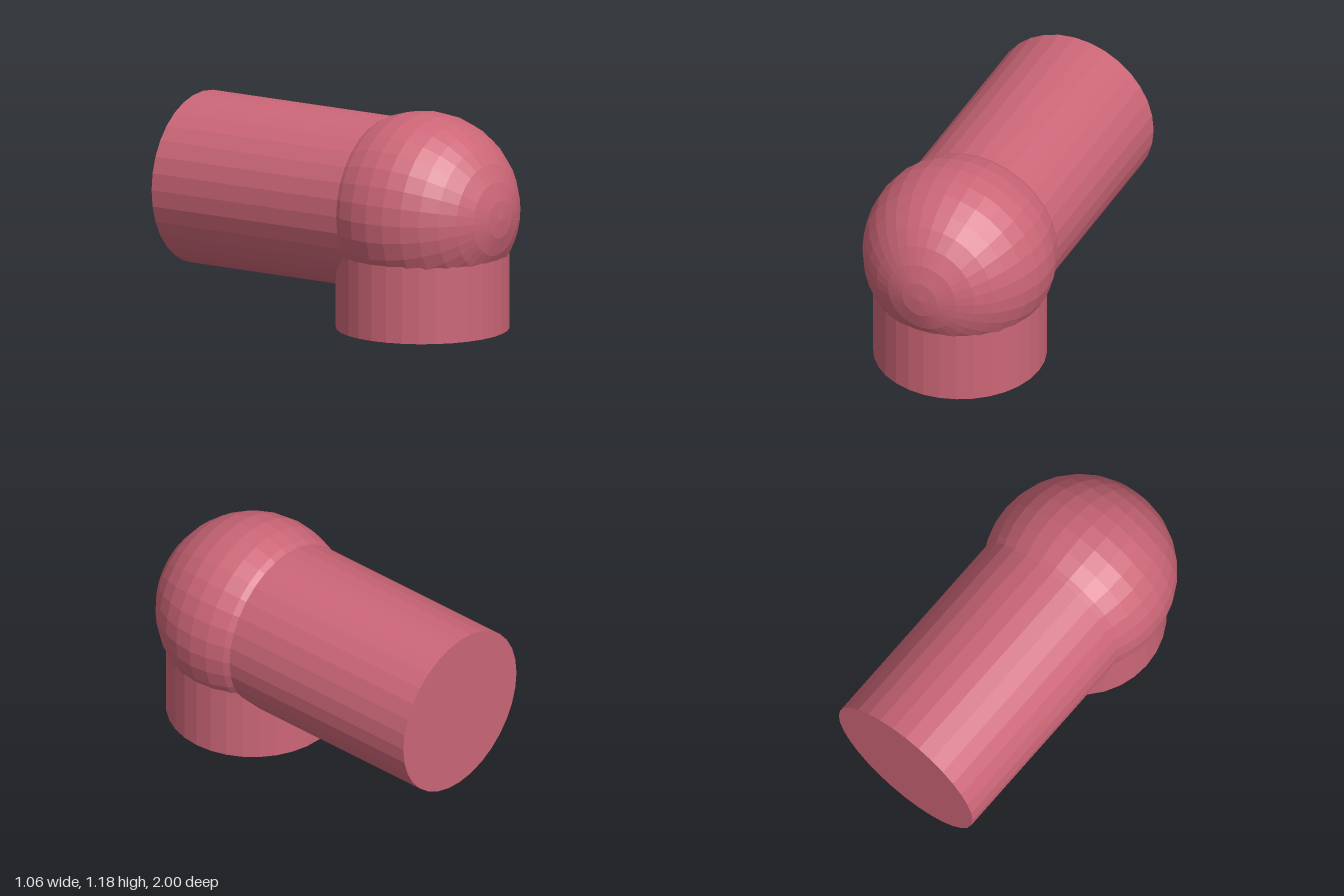
import * as THREE from 'three';

const SIDES = 32;
const PIPE_R = 0.471;
const BALL_R = 0.529;
const JOINT = new THREE.Vector3(0, 0.655, 0.471);

export function createModel() {
  const model = new THREE.Group();
  model.name = 'pipeElbow';
  const material = new THREE.MeshStandardMaterial({ color: 0xcc6677, flatShading: true });

  const add = (name, geometry) => {
    const mesh = new THREE.Mesh(geometry, material);
    mesh.name = name;
    model.add(mesh);
    return mesh;
  };

  // Ball joint, poles along z
  const ball = add('ballJoint', new THREE.SphereGeometry(BALL_R, SIDES, SIDES / 2).rotateX(Math.PI / 2));
  ball.position.copy(JOINT);

  // Short upright pipe from the floor to the joint centre
  const upright = add('uprightPipe', new THREE.CylinderGeometry(PIPE_R, PIPE_R, JOINT.y, SIDES));
  upright.position.set(0, JOINT.y / 2, JOINT.z);

  // Long level pipe from the joint centre to the back
  const length = JOINT.z + 1;
  const level = add('levelPipe', new THREE.CylinderGeometry(PIPE_R, PIPE_R, length, SIDES).rotateX(Math.PI / 2));
  level.position.set(0, JOINT.y, JOINT.z - length / 2);

  return model;
}
